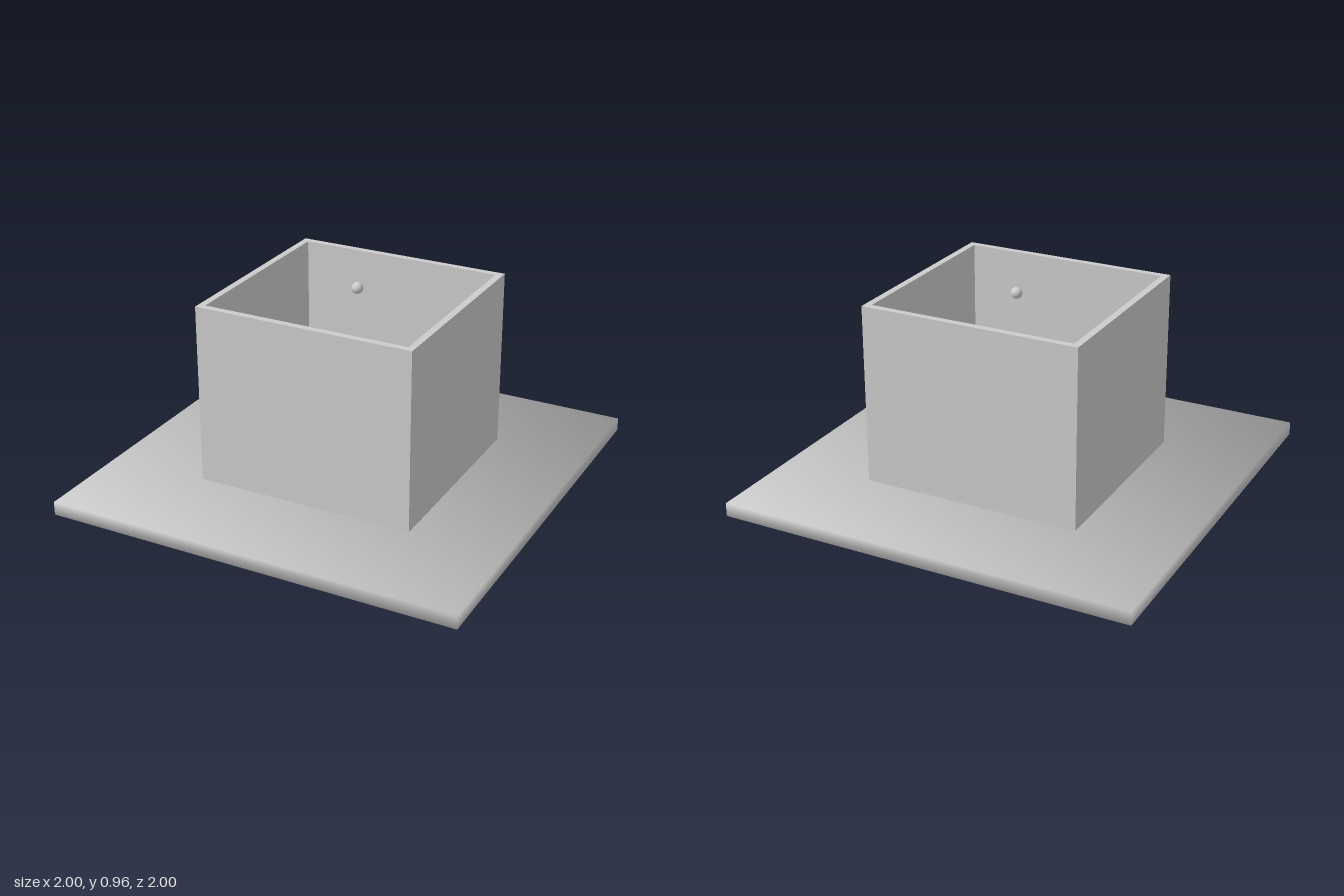
import * as THREE from 'three';

const material = new THREE.MeshStandardMaterial({ color: 0xcccccc });

function addPart(group, name, geometry, x = 0, y = 0, z = 0) {
  const mesh = new THREE.Mesh(geometry, material);
  mesh.name = name;
  mesh.position.set(x, y, z);
  group.add(mesh);
}

function rectangle(PathType, width, depth) {
  const w = width / 2, d = depth / 2;
  return new PathType([[-w, -d], [w, -d], [w, d], [-w, d]].map(([x, y]) => new THREE.Vector2(x, y)));
}

export function createModel() {
  const model = new THREE.Group();
  model.name = 'openBoxOnPlate';
  const plateTop = 0.065, boxTop = 0.932, wall = 0.033;
  const boxWidth = 1.064, boxDepth = 1.01;

  // Base plate, with corner normals averaged for soft shading
  const plate = new THREE.BoxGeometry(2, plateTop, 2);
  const position = plate.attributes.position, normal = plate.attributes.normal;
  const n = new THREE.Vector3();
  for (let i = 0; i < position.count; i++) {
    n.set(Math.sign(position.getX(i)), Math.sign(position.getY(i)), Math.sign(position.getZ(i))).normalize();
    normal.setXYZ(i, n.x, n.y, n.z);
  }
  addPart(model, 'basePlate', plate, 0, plateTop / 2, 0);

  // Four walls in one piece, open at the top
  const outline = rectangle(THREE.Shape, boxWidth, boxDepth);
  outline.holes.push(rectangle(THREE.Path, boxWidth - 2 * wall, boxDepth - 2 * wall));
  const walls = new THREE.ExtrudeGeometry(outline, { depth: boxTop - plateTop, bevelEnabled: false });
  walls.rotateX(-Math.PI / 2);
  addPart(model, 'boxWalls', walls, 0.014, plateTop, -0.004);

  // Small ball in the mouth of the box
  addPart(model, 'ball', new THREE.SphereGeometry(0.027, 32, 16), 0.015, 0.93, -0.037);

  return model;
}
